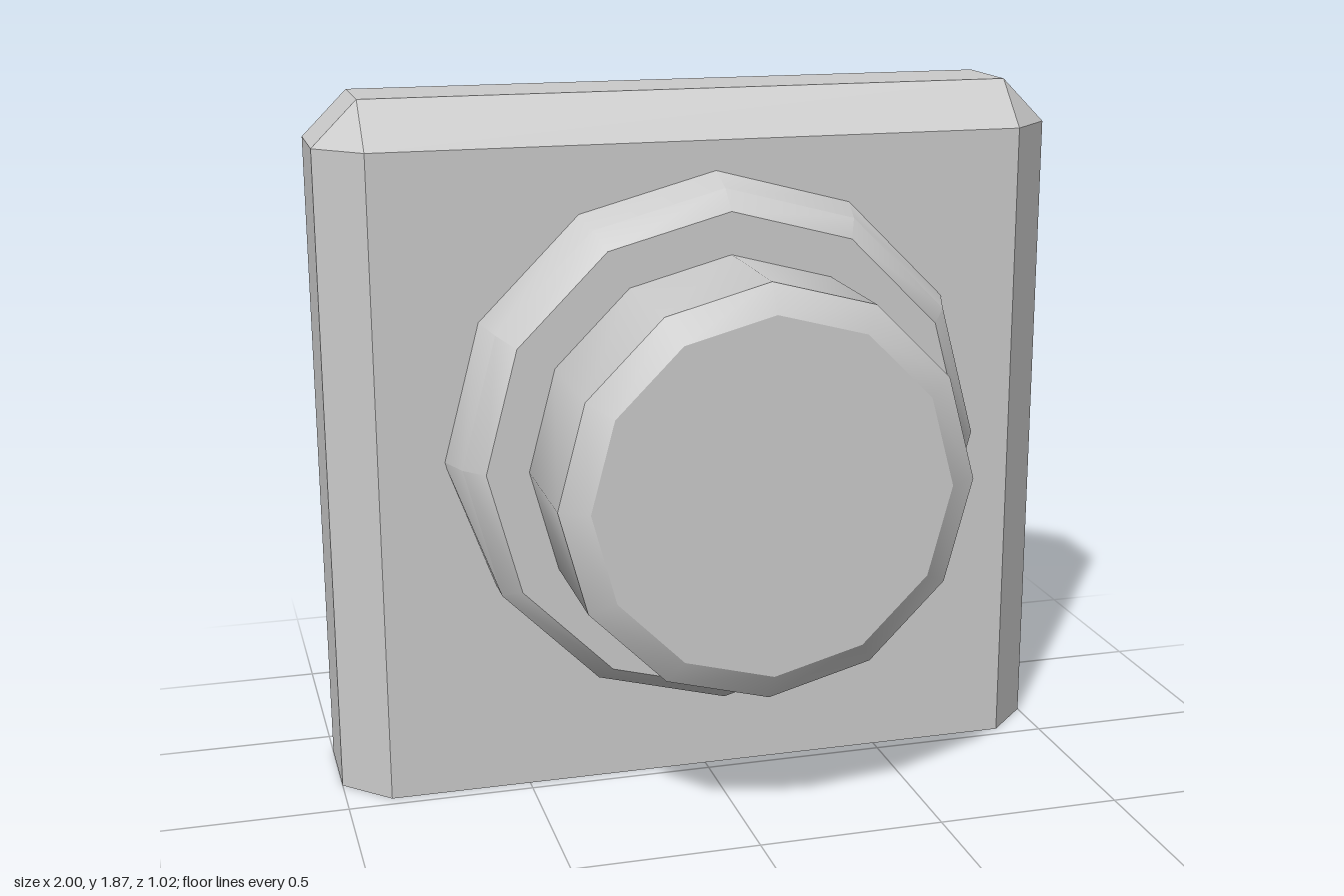
import * as THREE from 'three';
import { toCreasedNormals } from 'three/addons/utils/BufferGeometryUtils.js';

const CREASE = 0.56; // keeps the 30 degree facets smooth, chamfers sharp

// Closed solid through a list of equal-length rings, counter-clockwise about the loft axis.
function loft(rings) {
  const pos = [];
  const tri = (a, b, c) => {
    if (new THREE.Triangle(a, b, c).getArea() < 1e-7) return;
    for (const p of [a, b, c]) pos.push(p.x, p.y, p.z);
  };
  const n = rings[0].length;
  for (let i = 0; i < rings.length - 1; i++) {
    const lo = rings[i], hi = rings[i + 1];
    for (let k = 0; k < n; k++) {
      const m = (k + 1) % n;
      tri(lo[k], lo[m], hi[m]);
      tri(lo[k], hi[m], hi[k]);
    }
  }
  const first = rings[0], last = rings[rings.length - 1];
  for (let k = 1; k < n - 1; k++) {
    tri(first[0], first[k + 1], first[k]);
    tri(last[0], last[k], last[k + 1]);
  }
  const g = new THREE.BufferGeometry();
  g.setAttribute('position', new THREE.Float32BufferAttribute(pos, 3));
  return toCreasedNormals(g, CREASE);
}

// Twelve-sided ring facing +z; radius may depend on the corner index.
function ring(z, radius) {
  return Array.from({ length: 12 }, (_, k) => {
    const a = (k * Math.PI) / 6;
    const r = typeof radius === 'function' ? radius(k) : radius;
    return new THREE.Vector3(0.03 + r * Math.cos(a), 0.935 + r * Math.sin(a), z);
  });
}

export function createModel() {
  const model = new THREE.Group();
  const material = new THREE.MeshStandardMaterial({ color: 0xcccccc });
  const add = (name, rings, mat = material) => {
    const mesh = new THREE.Mesh(loft(rings), mat);
    mesh.name = name;
    model.add(mesh);
  };

  // Slab: chamfered on the uprights and the top, flat underneath
  const front = -0.035, back = -0.51, c = 0.12, height = 1.87;
  const outline = [
    [c - 1, front], [1 - c, front], [1, front - c], [1, back + c],
    [1 - c, back], [c - 1, back], [-1, back + c], [-1, front - c],
  ];
  const level = (y) => outline.map(([x, z]) => new THREE.Vector3(x, y, z));
  const top = level(height).map((p) => p.set(
    THREE.MathUtils.clamp(p.x, c - 1, 1 - c), p.y,
    THREE.MathUtils.clamp(p.z, back + c, front - c)));
  add('backSlab', [level(0), level(height - c), top]);

  // Collar: its base flares outwards on the upper and left-hand corners only
  const flare = (k) => (k >= 1 && k <= 6 ? 0.737 : 0.703);
  add('collar', [ring(-0.04, flare), ring(0.053, 0.703), ring(0.113, 0.652)]);

  // Knob with a chamfered face
  add('knob', [ring(0.1, 0.54), ring(0.467, 0.54), ring(0.512, 0.467)]);

  return model;
}
